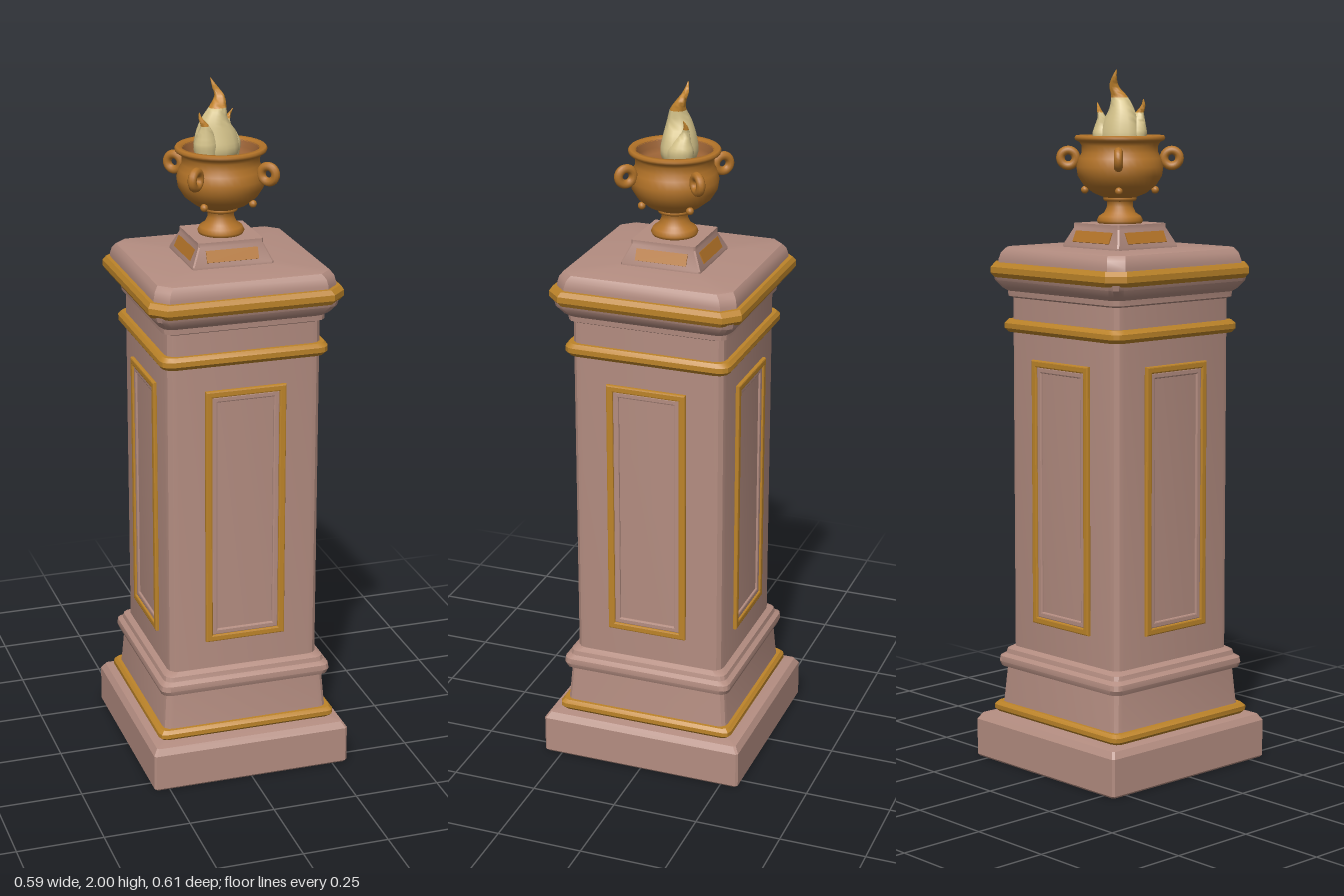
import * as THREE from 'three';
import { toCreasedNormals } from 'three/addons/utils/BufferGeometryUtils.js';

const mat = (name, color, side = THREE.FrontSide) => {
  const m = new THREE.MeshStandardMaterial({ color, side });
  m.name = name;
  return m;
};

// Skin a stack of closed rings (listed bottom to top) and cap both ends
function loft(rings, crease) {
  const pos = [];
  const tri = (...pts) => pts.forEach(p => pos.push(p.x, p.y, p.z));
  const centre = r => r.reduce((s, p) => s.add(p), new THREE.Vector3()).divideScalar(r.length);
  const n = rings[0].length, bottom = rings[0], top = rings[rings.length - 1];
  const cb = centre(bottom), ct = centre(top);
  for (let i = 0; i < n; i++) {
    const j = (i + 1) % n;
    for (let k = 0; k < rings.length - 1; k++) {
      const a = rings[k], b = rings[k + 1];
      tri(a[i], b[i], b[j]);
      tri(a[i], b[j], a[j]);
    }
    tri(cb, bottom[i], bottom[j]);
    tri(ct, top[j], top[i]);
  }
  const g = new THREE.BufferGeometry();
  g.setAttribute('position', new THREE.Float32BufferAttribute(pos, 3));
  return toCreasedNormals(g, crease);
}

// Square ring with cut (steps = 1) or rounded corners
function squareRing(w, d, y, corner, steps) {
  const pts = [];
  for (let k = 0; k < 4; k++) {
    const mid = (k + 0.5) * Math.PI / 2;
    const cx = Math.sign(Math.cos(mid)) * (w - corner), cz = Math.sign(Math.sin(mid)) * (d - corner);
    for (let j = 0; j <= steps; j++) {
      const a = (k + j / steps) * Math.PI / 2;
      pts.push(new THREE.Vector3(cx + Math.cos(a) * corner, y, cz + Math.sin(a) * corner));
    }
  }
  return pts;
}

// Profile is a list of [half width, height]
const squareTower = (profile, corner, steps = 1, extraDepth = 0) =>
  loft(profile.map(([w, y]) => squareRing(w, w + extraDepth, y, corner, steps)), 0.5);

// Rounded strip running around the pillar
const band = (w, y0, y1, corner, steps) => {
  const h = y1 - y0;
  return squareTower([[w - 0.04, y0], [w - 0.008, y0], [w, y0 + h * 0.3], [w, y0 + h * 0.7],
    [w - 0.008, y1], [w - 0.04, y1]], corner, steps);
};

function frameGeometry(w, h, border, depth) {
  const rect = (S, a, b) => {
    const s = new S();
    s.moveTo(-a, -b); s.lineTo(a, -b); s.lineTo(a, b); s.lineTo(-a, b); s.closePath();
    return s;
  };
  const bevel = 0.004;
  const s = rect(THREE.Shape, w - bevel, h - bevel);
  s.holes.push(rect(THREE.Path, w - border + bevel, h - border + bevel));
  return new THREE.ExtrudeGeometry(s, { depth, bevelSize: bevel, bevelThickness: bevel, bevelSegments: 2 });
}

// Flame tongue through [x, y, z, radius x, radius z] stations; returns part between t0 and t1
function tongue(stations, t0, t1) {
  const path = new THREE.CatmullRomCurve3(stations.map(s => new THREE.Vector3(s[0], s[1], s[2])));
  const size = new THREE.CatmullRomCurve3(stations.map(s => new THREE.Vector3(s[3], 0, s[4])));
  const rings = [];
  for (let i = 0; i <= 14; i++) {
    const t = t0 + (t1 - t0) * i / 14;
    const c = path.getPoint(t), r = size.getPoint(t);
    rings.push(Array.from({ length: 14 }, (_, k) => {
      const a = k / 14 * Math.PI * 2;
      return new THREE.Vector3(c.x + Math.cos(a) * Math.max(r.x, 0.0008), c.y,
        c.z + Math.sin(a) * Math.max(r.z, 0.0008));
    }));
  }
  return loft(rings, 1.2);
}

export function createModel() {
  const stone = mat('rose stone', 0xb48d81);
  const gold = mat('gold trim', 0xbd8429);
  const bronze = mat('bronze', 0xb37328);
  const inside = mat('dark bronze', 0x9a6235, THREE.DoubleSide);
  const pale = mat('pale flame', 0xd6c48b);
  const amber = mat('amber flame', 0xc5862f);

  const model = new THREE.Group();
  model.name = 'flamePillar';
  const add = (name, geo, m, parent = model) => {
    const mesh = new THREE.Mesh(geo, m);
    mesh.name = name;
    parent.add(mesh);
    return mesh;
  };

  // Pillar, from the ground up
  add('plinth', squareTower([[0.29, 0], [0.295, 0.006], [0.295, 0.112], [0.283, 0.13], [0.25, 0.138]],
    0.006, 1, 0.008), stone);
  add('baseTrim', band(0.266, 0.135, 0.166, 0.02, 2), gold);
  add('baseBlock', squareTower([[0.25, 0.15], [0.247, 0.18], [0.24, 0.27], [0.252, 0.274], [0.257, 0.288],
    [0.255, 0.303], [0.243, 0.312], [0.24, 0.325], [0.226, 0.334]], 0.025, 3), stone);
  add('shaft', squareTower([[0.225, 0.33], [0.225, 1.355], [0.235, 1.36], [0.236, 1.375], [0.248, 1.385],
    [0.262, 1.405], [0.265, 1.42]], 0.03, 3), stone);
  add('neckTrim', band(0.244, 1.257, 1.293, 0.032, 3), gold);
  add('corniceTrim', band(0.281, 1.415, 1.457, 0.042, 1), gold);
  add('capStone', squareTower([[0.262, 1.44], [0.262, 1.465], [0.257, 1.485], [0.247, 1.498], [0.24, 1.5]],
    0.035), stone);

  // Framed panel on each face
  const outerFrame = frameGeometry(0.118, 0.382, 0.02, 0.006);
  const innerFrame = frameGeometry(0.1, 0.364, 0.018, 0.002);
  for (let i = 0; i < 4; i++) {
    const panel = new THREE.Group();
    panel.name = 'facePanel';
    panel.rotation.y = i * Math.PI / 2;
    add('panelFrame', outerFrame, gold, panel).position.set(0, 0.802, 0.226);
    add('panelInnerFrame', innerFrame, stone, panel).position.set(0, 0.802, 0.225);
    model.add(panel);
  }

  // Small pedestal with a tilted plate on each slope
  add('urnPedestal', squareTower([[0.117, 1.498], [0.117, 1.506], [0.094, 1.556], [0.094, 1.568]], 0.004), stone);
  const plate = new THREE.BoxGeometry(0.15, 0.034, 0.006);
  for (let i = 0; i < 4; i++) {
    const side = new THREE.Group();
    side.name = 'pedestalSide';
    side.rotation.y = i * Math.PI / 2;
    const p = add('pedestalPlate', plate, bronze, side);
    p.position.set(0, 1.531, 0.1055);
    p.rotation.x = -0.43;
    model.add(side);
  }

  // Urn
  const lathe = pts => new THREE.LatheGeometry(pts.map(p => new THREE.Vector2(...p)), 36);
  add('urn', lathe([[0.001, 1.567], [0.062, 1.567], [0.066, 1.576], [0.06, 1.588], [0.045, 1.598], [0.037, 1.615],
    [0.037, 1.632], [0.048, 1.642], [0.075, 1.653], [0.103, 1.675], [0.12, 1.702], [0.124, 1.728], [0.117, 1.752],
    [0.109, 1.768], [0.109, 1.788], [0.116, 1.798], [0.127, 1.803], [0.129, 1.81], [0.125, 1.816], [0.112, 1.816],
    [0.106, 1.808]]), bronze);
  add('urnStemRing', new THREE.TorusGeometry(0.04, 0.008, 8, 32).rotateX(Math.PI / 2).translate(0, 1.638, 0), bronze);
  add('urnInside', lathe([[0.107, 1.81], [0.1, 1.79], [0.095, 1.775], [0.05, 1.768], [0.001, 1.765]]), inside);

  // Ring handles and studs on the diagonals
  for (let i = 0; i < 4; i++) {
    const corner = new THREE.Group();
    corner.name = 'urnHandle';
    corner.rotation.y = Math.PI / 4 + i * Math.PI / 2;
    add('handleRing', new THREE.TorusGeometry(0.022, 0.0125, 10, 24), bronze, corner).position.set(0.147, 1.752, 0);
    add('urnStud', new THREE.SphereGeometry(0.011, 12, 8), bronze, corner).position.set(0.1, 1.662, 0);
    model.add(corner);
  }

  // Fire: a main tongue and two side tongues, pale below and amber at the tips
  const fire = new THREE.Group();
  fire.name = 'fire';
  model.add(fire);
  const tongues = [
    [0.56, [[-0.01, 1.77, -0.01, 0.05, 0.04], [-0.01, 1.81, -0.01, 0.066, 0.052], [-0.012, 1.85, -0.01, 0.058, 0.045],
      [-0.016, 1.89, -0.008, 0.038, 0.034], [-0.006, 1.925, -0.008, 0.024, 0.022], [0.002, 1.952, -0.02, 0.014, 0.014],
      [-0.008, 1.975, -0.03, 0.008, 0.008], [-0.02, 2.0, -0.032, 0.001, 0.001]]],
    [0.6, [[-0.045, 1.78, 0.01, 0.03, 0.03], [-0.048, 1.82, 0.014, 0.034, 0.032], [-0.05, 1.855, 0.02, 0.024, 0.022],
      [-0.054, 1.88, 0.026, 0.012, 0.012], [-0.066, 1.9, 0.028, 0.006, 0.006], [-0.07, 1.918, 0.025, 0.001, 0.001]]],
    [0.72, [[0.028, 1.78, -0.025, 0.03, 0.036], [0.032, 1.815, -0.028, 0.033, 0.038], [0.033, 1.845, -0.034, 0.022, 0.024],
      [0.03, 1.868, -0.042, 0.011, 0.012], [0.037, 1.888, -0.046, 0.006, 0.006], [0.048, 1.908, -0.042, 0.001, 0.001]]],
  ];
  for (const [split, stations] of tongues) {
    add('flameBody', tongue(stations, 0, split), pale, fire);
    add('flameTip', tongue(stations, split, 1), amber, fire);
  }
  return model;
}
